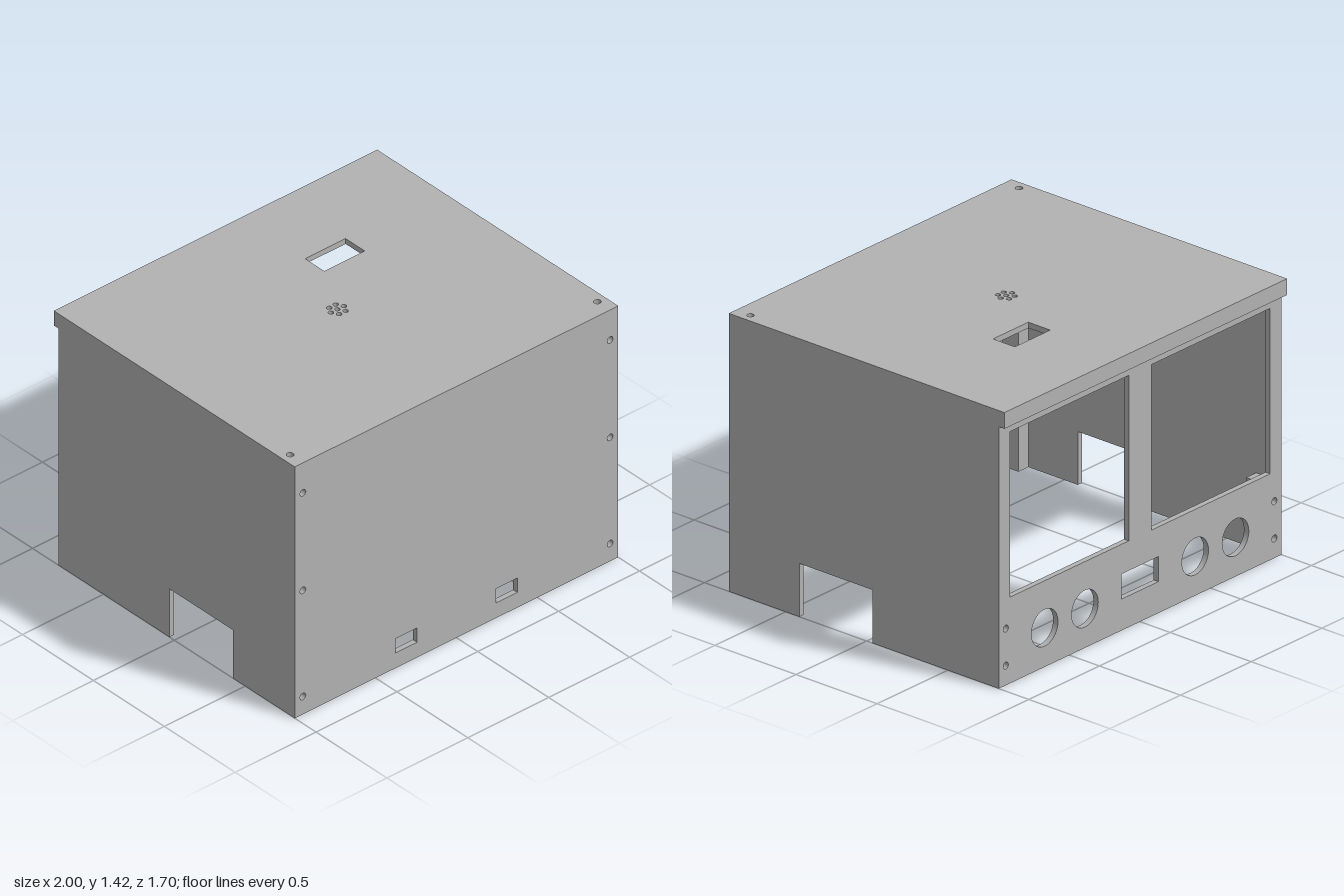
import * as THREE from 'three';

const T = 0.03; // sheet thickness

const rect = (target, x0, y0, x1, y1) => {
  target.moveTo(x0, y0);
  target.lineTo(x1, y0);
  target.lineTo(x1, y1);
  target.lineTo(x0, y1);
  target.closePath();
  return target;
};
const slot = (x0, y0, x1, y1) => rect(new THREE.Path(), x0, y0, x1, y1);
const hole = (x, y, r) => new THREE.Path().absarc(x, y, r, 0, Math.PI * 2, false);

export function createModel() {
  const group = new THREE.Group();
  const grey = new THREE.MeshStandardMaterial({ color: 0xb2b2b2 });
  grey.name = 'grey sheet';

  const add = (name, geometry, x = 0, y = 0, z = 0) => {
    const mesh = new THREE.Mesh(geometry, grey);
    mesh.name = name;
    mesh.position.set(x, y, z);
    group.add(mesh);
    return mesh;
  };
  const plate = (shape, holes = [], depth = T) => {
    shape.holes.push(...holes);
    return new THREE.ExtrudeGeometry(shape, { depth, bevelEnabled: false, curveSegments: 32 });
  };
  const box = (name, x0, x1, y0, y1, z0, z1) =>
    add(name, new THREE.BoxGeometry(x1 - x0, y1 - y0, z1 - z0), (x0 + x1) / 2, (y0 + y1) / 2, (z0 + z1) / 2);
  const sides = [-1, 1];

  // Front panel: screw holes and two small slots
  const frontHoles = sides.flatMap((s) => [
    ...[0.1, 0.7, 1.25].map((y) => hole(s * 0.95, y, 0.018)),
    slot(s * 0.31 - 0.066, 0.085, s * 0.31 + 0.066, 0.166),
  ]);
  add('frontPanel', plate(rect(new THREE.Shape(), -1, 0, 1, 1.39), frontHoles), 0, 0, 0.85 - T);

  // Back panel: two windows, four round ports, a socket opening and screw holes
  const backHoles = sides.flatMap((s) => [
    slot(s * 0.5 - 0.42, 0.44, s * 0.5 + 0.42, 1.285),
    hole(s * 0.39, 0.2, 0.094),
    hole(s * 0.675, 0.2, 0.094),
    hole(s * 0.95, 0.1, 0.018),
    hole(s * 0.95, 0.29, 0.018),
  ]);
  backHoles.push(slot(-0.13, 0.16, 0.13, 0.288));
  add('backPanel', plate(rect(new THREE.Shape(), -1, 0, 1, 1.39), backHoles), 0, 0, -0.815);
  box('backLip', -1, 1, 1.337, 1.39, -0.85, -0.815);

  // Top panel: rectangular opening, vent cluster and front screw holes
  const topHoles = [slot(0.16, 0.265, 0.41, 0.4), hole(0, -0.01, 0.013)];
  for (let i = 0; i < 6; i++) {
    const a = (i * Math.PI) / 3;
    topHoles.push(hole(0.04 * Math.cos(a), -0.01 + 0.04 * Math.sin(a), 0.013));
  }
  sides.forEach((s) => topHoles.push(hole(s * 0.95, -0.76, 0.018)));
  add('topPanel', plate(rect(new THREE.Shape(), -1, -0.85, 1, 0.85), topHoles), 0, 1.39, 0).rotation.x = -Math.PI / 2;

  // Side panels, notched at the bottom edge (profile runs along z)
  const sideShape = () => {
    const points = [[-0.82, 0], [-0.415, 0], [-0.415, 0.272], [0.035, 0.272],
      [0.035, 0], [0.785, 0], [0.785, 1.39], [-0.82, 1.39]];
    return new THREE.Shape(points.map(([x, y]) => new THREE.Vector2(x, y)));
  };
  sides.forEach((s) => {
    add(s > 0 ? 'leftPanel' : 'rightPanel', plate(sideShape()), s > 0 ? 1 - T : -1, 0, 0)
      .rotation.y = Math.PI / 2;
  });

  // Corner posts with a drilled foot; the back ones are short
  sides.forEach((s) => {
    [['front', 0.72, 0.82, 1.39], ['back', -0.785, -0.685, 0.39]].forEach(([end, z0, z1, top]) => {
      const x0 = Math.min(s * 0.9, s * 0.97);
      const x1 = x0 + 0.07;
      box(end + 'Post', x0, x1, 0.06, top, z0, z1);
      const drill = hole(s * 0.94, -(z0 + z1) / 2, 0.018);
      add(end + 'PostFoot', plate(rect(new THREE.Shape(), x0, -z1, x1, -z0), [drill], 0.06))
        .rotation.x = -Math.PI / 2;
    });
  });

  return group;
}
